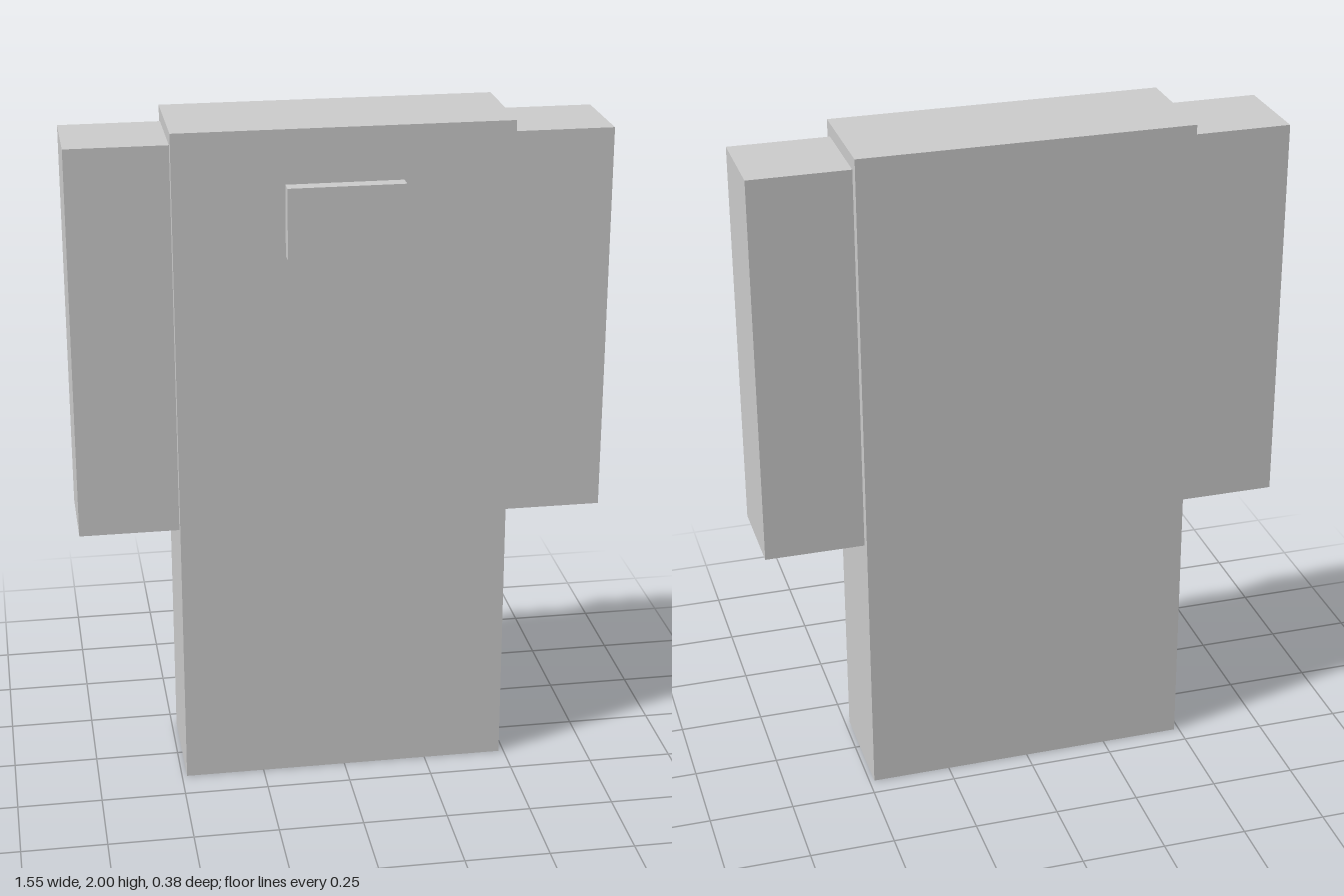
import * as THREE from 'three';

const material = new THREE.MeshStandardMaterial({ color: 0xcccccc, flatShading: true });

// Box given by its lower and upper corners
function block(name, [x0, y0, z0], [x1, y1, z1]) {
  const mesh = new THREE.Mesh(new THREE.BoxGeometry(x1 - x0, y1 - y0, z1 - z0), material);
  mesh.position.set((x0 + x1) / 2, (y0 + y1) / 2, (z0 + z1) / 2);
  mesh.name = name;
  return mesh;
}

export function createModel() {
  const group = new THREE.Group();
  group.name = 'slabFigure';

  // Tall central slab
  group.add(block('body', [-0.485, 0, -0.19], [0.485, 2, 0.147]));

  // Raised plate on the upper front
  group.add(block('frontPlate', [-0.168, 1.637, 0.147], [0.168, 1.843, 0.19]));

  // Mirrored side blocks, slightly thinner than the body
  const arm = block('leftArm', [0.485, 0.805, -0.158], [0.777, 1.96, 0.115]);
  const mirrored = arm.clone();
  mirrored.name = 'rightArm';
  mirrored.position.x *= -1;
  group.add(arm, mirrored);

  return group;
}
